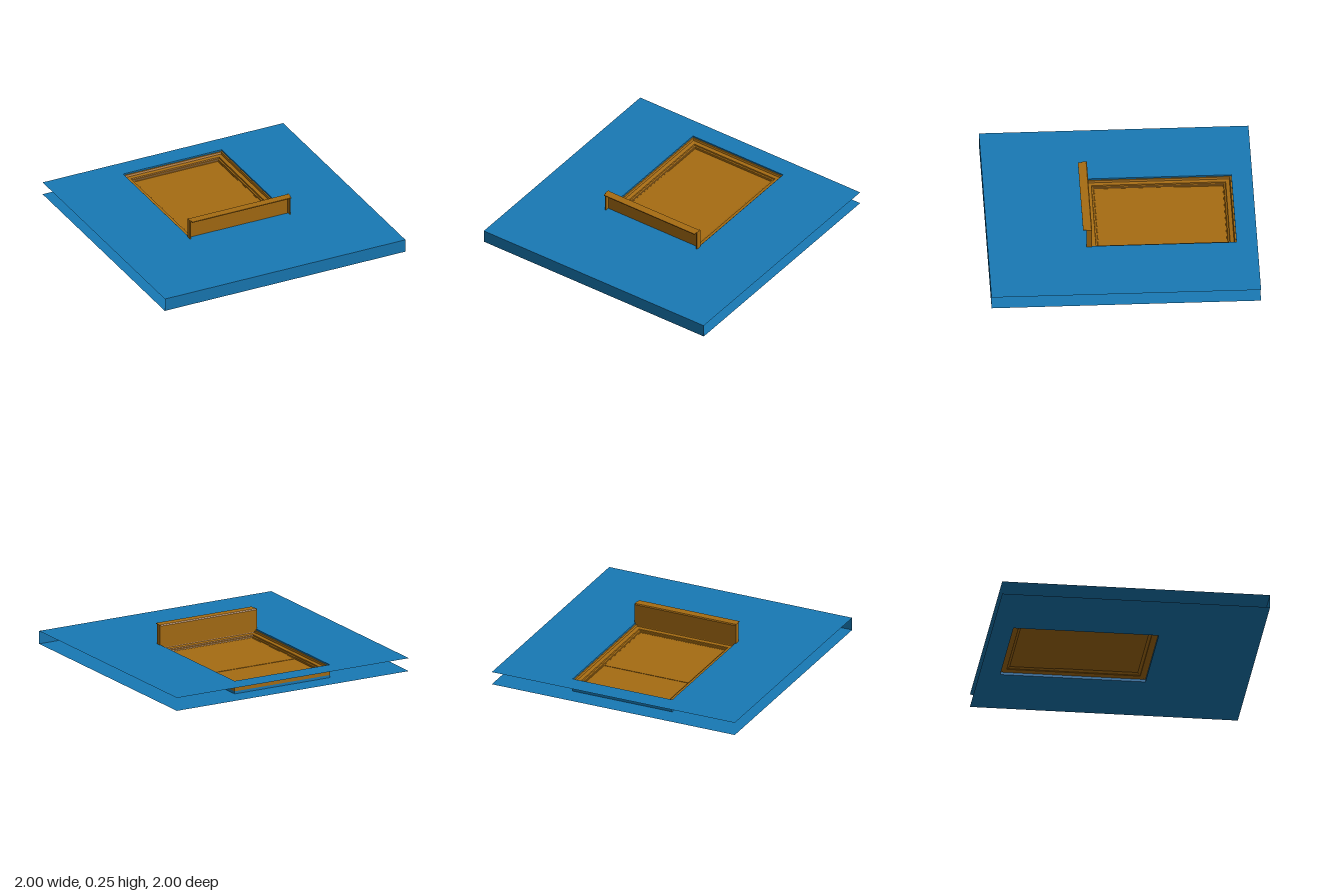
import * as THREE from 'three';

const blue = new THREE.MeshStandardMaterial({ color: 0x1879b5, side: THREE.DoubleSide });
const brown = new THREE.MeshStandardMaterial({ color: 0xa66c12, side: THREE.DoubleSide, flatShading: true });

// Window opening, seen from above
const HX = 0.41, Z0 = -0.845, Z1 = 0.24;

function add(group, name, geometry, material, x = 0, y = 0, z = 0) {
  const mesh = new THREE.Mesh(geometry, material);
  mesh.name = name;
  mesh.position.set(x, y, z);
  group.add(mesh);
  return mesh;
}

// Sweeps a profile of [inset, y] points round the opening with mitred corners
function mitredRing(profile) {
  const pos = [];
  const corners = ([d, y]) => [
    [-HX + d, y, Z0 + d], [-HX + d, y, Z1 - d], [HX - d, y, Z1 - d], [HX - d, y, Z0 + d],
  ];
  for (let i = 0; i < profile.length - 1; i++) {
    const a = corners(profile[i]), b = corners(profile[i + 1]);
    for (let k = 0; k < 4; k++) {
      const n = (k + 1) % 4;
      pos.push(...a[k], ...a[n], ...b[n], ...a[k], ...b[n], ...b[k]);
    }
  }
  const geo = new THREE.BufferGeometry();
  geo.setAttribute('position', new THREE.Float32BufferAttribute(pos, 3));
  geo.computeVertexNormals();
  return geo;
}

export function createModel() {
  const model = new THREE.Group();

  // Wall: two open sheets with the opening cut out, closed along one edge only
  const wall = new THREE.Group();
  wall.name = 'wall';
  model.add(wall);
  const outline = new THREE.Shape([[-1, -1], [1, -1], [1, 1], [-1, 1]].map(p => new THREE.Vector2(...p)));
  outline.holes.push(new THREE.Path(
    [[-HX, -Z0], [HX, -Z0], [HX, -Z1], [-HX, -Z1]].map(p => new THREE.Vector2(...p))));
  const sheet = new THREE.ShapeGeometry(outline).rotateX(-Math.PI / 2);
  add(wall, 'outerWallSheet', sheet, blue, 0, 0.1, 0);
  add(wall, 'innerWallSheet', sheet.clone().rotateZ(Math.PI), blue);
  add(wall, 'wallBase', new THREE.PlaneGeometry(2, 0.1), blue, 0, 0.05, 1);

  // Reveals between the wall sheets and the window frame
  add(wall, 'outerReveal', mitredRing([[0, 0.1], [0, 0.088]]), blue);
  add(wall, 'innerReveal', mitredRing([[0, 0.02], [0, 0]]), blue);

  // Window: stepped frame and sash in one mitred profile
  const win = new THREE.Group();
  win.name = 'window';
  model.add(win);
  add(win, 'frame', mitredRing([
    [0.055, 0.032], [0.046, 0.03], [0.044, 0.025], [0.016, 0.022], [0.012, 0.02], [0, 0.02],
    [0, 0.088], [0.01, 0.088], [0.016, 0.074], [0.044, 0.07], [0.047, 0.062], [0.058, 0.06],
  ]), brown);
  add(win, 'sashBead', mitredRing([
    [0.058, 0.06], [0.061, 0.055], [0.066, 0.054], [0.068, 0.046], [0.06, 0.036], [0.055, 0.032],
  ]), brown);

  // Two panes that meet in a small step
  const px = (HX - 0.06) * 2, zTop = Z0 + 0.06, zBottom = Z1 - 0.06, zMeet = -0.445;
  add(win, 'upperPane', new THREE.BoxGeometry(px, 0.01, zMeet - zTop), brown, 0, 0.045, (zTop + zMeet) / 2);
  add(win, 'lowerPane', new THREE.BoxGeometry(px, 0.01, zBottom - zMeet), brown, 0, 0.048, (zMeet + zBottom) / 2);

  // Window ledge: bent sheet standing out of the wall, with end caps
  const ledge = new THREE.Group();
  ledge.name = 'ledge';
  model.add(ledge);
  const bend = new THREE.Shape([
    [0.226, 0.078], [0.226, 0.247], [0.232, 0.255], [0.293, 0.255],
    [0.293, 0.248], [0.236, 0.247], [0.234, 0.244], [0.234, 0.078],
  ].map(p => new THREE.Vector2(...p)));
  const length = 0.824;
  const bent = new THREE.ExtrudeGeometry(bend, { depth: length, bevelEnabled: false });
  bent.rotateY(-Math.PI / 2); // profile x becomes z, depth runs along -x
  add(ledge, 'ledgeSheet', bent, brown, length / 2, 0, 0);
  for (const s of [-1, 1]) {
    add(ledge, 'ledgeEndCap', new THREE.BoxGeometry(0.008, 0.18, 0.042), brown, s * 0.414, 0.165, 0.247);
  }
  return model;
}
